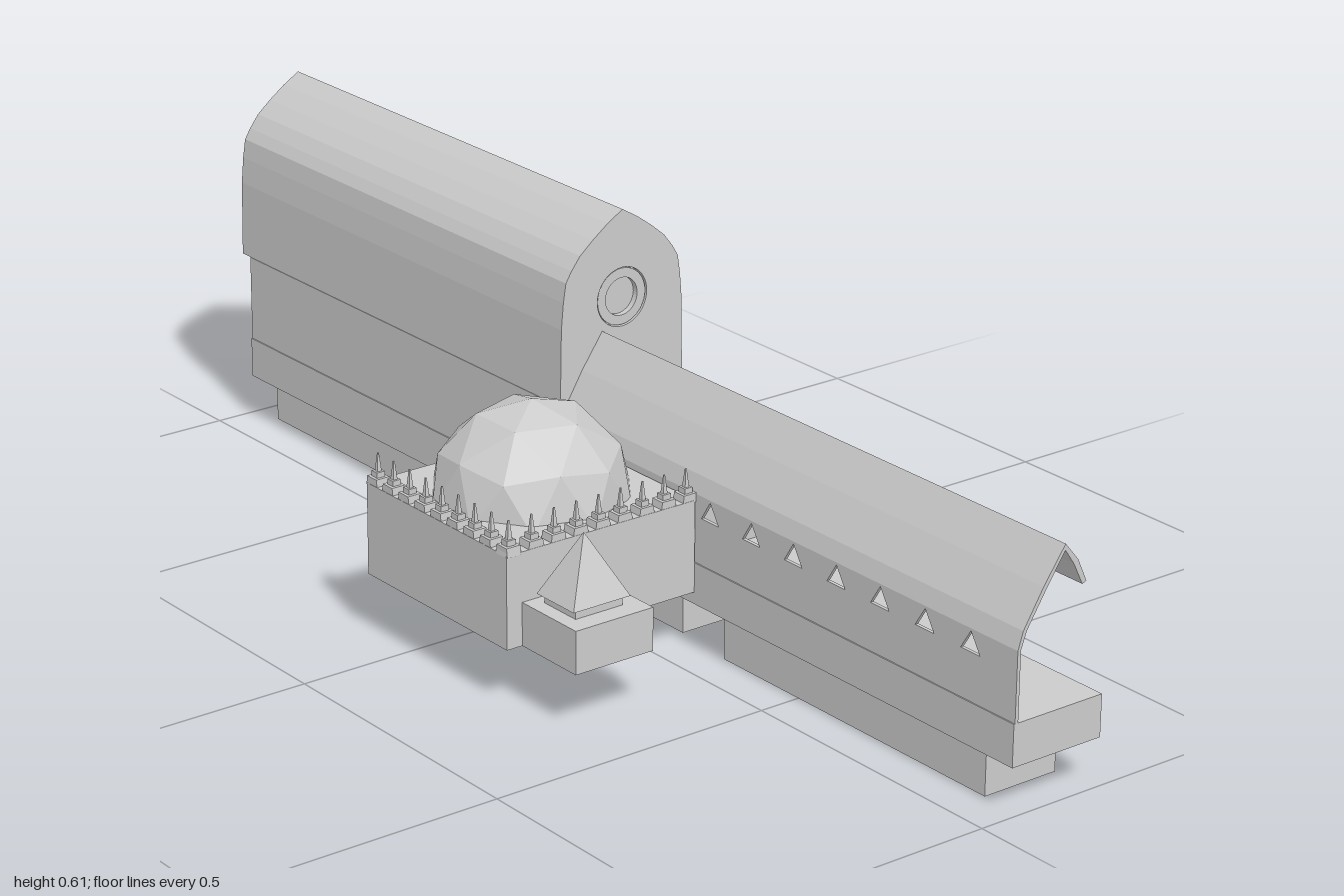
import * as THREE from 'three';

const mat = new THREE.MeshStandardMaterial({ color: 0xcccccc, flatShading: true, side: THREE.DoubleSide });

function add(parent, name, geometry) {
  const mesh = new THREE.Mesh(geometry, mat);
  mesh.name = name;
  parent.add(mesh);
  return mesh;
}

// Box given by its extents on each axis
function box(parent, name, [x0, x1], [y0, y1], [z0, z1]) {
  const g = new THREE.BoxGeometry(x1 - x0, y1 - y0, z1 - z0);
  return add(parent, name, g.translate((x0 + x1) / 2, (y0 + y1) / 2, (z0 + z1) / 2));
}

const shapeOf = (pts) => new THREE.Shape(pts.map(([x, y]) => new THREE.Vector2(x, y)));

// Profile in x/y swept from z0 to z1
function sweep(shape, z0, z1) {
  return new THREE.ExtrudeGeometry(shape, { depth: z1 - z0, bevelEnabled: false, curveSegments: 20 }).translate(0, 0, z0);
}

// Great hall: pointed barrel roof with a round window recessed in the front
function buildHall() {
  const hall = new THREE.Group();
  hall.name = 'greatHall';
  const cx = 0.182, wy = 0.46;
  const half = [[0.124, 0.3], [0.122, 0.43], [0.118, 0.475], [0.113, 0.507], [0.102, 0.525], [0.085, 0.547], [0.06, 0.568], [0.03, 0.59]];
  const profile = [
    ...half.map(([x, y]) => [cx + x, y]),
    [cx, 0.608],
    ...half.slice().reverse().map(([x, y]) => [cx - x, y]),
  ];
  add(hall, 'hallBody', sweep(shapeOf(profile), -1, -0.095));
  const front = shapeOf(profile);
  front.holes.push(new THREE.Path().absarc(cx, wy, 0.05, 0, Math.PI * 2, true));
  add(hall, 'hallFront', sweep(front, -0.095, -0.083));
  const ring = new THREE.Shape().absarc(cx, wy, 0.048, 0, Math.PI * 2, false);
  ring.holes.push(new THREE.Path().absarc(cx, wy, 0.032, 0, Math.PI * 2, true));
  add(hall, 'windowRing', sweep(ring, -0.095, -0.085));
  return hall;
}

// Covered walk: pierced wall curving over into a thin pointed roof
function buildGallery() {
  const gallery = new THREE.Group();
  gallery.name = 'gallery';
  const wall = shapeOf([[-0.09, 0.15], [1, 0.15], [1, 0.265], [-0.09, 0.265]]);
  for (let i = 0; i < 7; i++) {
    const z = 0.3 + i * 0.1;
    wall.holes.push(shapeOf([[z - 0.021, 0.228], [z, 0.261], [z + 0.021, 0.228]]));
  }
  const g = new THREE.ExtrudeGeometry(wall, { depth: 0.006, bevelEnabled: false });
  add(gallery, 'piercedWall', g.rotateY(-Math.PI / 2).translate(0.063, 0, 0));
  const roof = shapeOf([
    [0.057, 0.265], [0.063, 0.265], [0.073, 0.293], [0.105, 0.344], [0.142, 0.4], [0.16, 0.374], [0.178, 0.338],
    [0.186, 0.341], [0.168, 0.379], [0.142, 0.41], [0.102, 0.353], [0.066, 0.294],
  ]);
  add(gallery, 'archedRoof', sweep(roof, -0.09, 1));
  return gallery;
}

// Crenellated wall with pinnacles, running along +x from the origin
function buildBattlement(name) {
  const row = new THREE.Group();
  row.name = name;
  for (let i = 0; i < 9; i++) {
    const x = i * 0.0425;
    const merlon = shapeOf([[x - 0.0145, 0.252], [x + 0.0145, 0.252], [x + 0.0125, 0.267], [x - 0.0125, 0.267]]);
    add(row, 'merlon', sweep(merlon, -0.0125, 0.0125));
    box(row, 'pinnacleBase', [x - 0.0075, x + 0.0075], [0.265, 0.276], [-0.0075, 0.0075]);
    const spike = new THREE.CylinderGeometry(0.0015, 0.0055, 0.03, 4).rotateY(Math.PI / 4);
    add(row, 'pinnacleSpike', spike.translate(x, 0.291, 0));
  }
  return row;
}

// Faceted dome, cut flat beneath the roof
function buildDome() {
  const r = 0.163;
  const g = new THREE.IcosahedronGeometry(r, 1);
  g.rotateX(-Math.atan((1 + Math.sqrt(5)) / 2)).rotateY(Math.PI / 2);
  const p = g.attributes.position;
  for (let i = 0; i < p.count; i++) p.setY(i, Math.max(p.getY(i), -0.06));
  return g.translate(-0.114, 0.24, 0.07);
}

export function createModel() {
  const model = new THREE.Group();
  model.name = 'castle';

  // Long platform, raised block and footings
  box(model, 'platform', [0.055, 0.228], [0.08, 0.15], [-0.975, 1]);
  box(model, 'raisedBlock', [0.06, 0.228], [0.15, 0.233], [-0.09, 0.245]);
  box(model, 'frontFooting', [0.073, 0.212], [0, 0.08], [0.32, 0.925]);
  box(model, 'middleFooting', [0.07, 0.215], [0.01, 0.08], [-0.07, 0.22]);
  box(model, 'rearFooting', [0.07, 0.218], [0.012, 0.08], [-0.92, -0.15]);
  box(model, 'hallSupportWall', [0.057, 0.063], [0.15, 0.3], [-0.975, -0.09]);

  model.add(buildHall(), buildGallery());

  // Domed keep with battlements on its front and outer sides
  box(model, 'keep', [-0.308, 0.055], [0.1, 0.255], [-0.1, 0.266]);
  const frontRow = buildBattlement('frontBattlement');
  frontRow.position.set(-0.294, 0, 0.253);
  const sideRow = buildBattlement('sideBattlement');
  sideRow.rotation.y = Math.PI / 2;
  sideRow.position.set(-0.295, 0, 0.253);
  model.add(frontRow, sideRow);
  add(model, 'dome', buildDome());

  // Small turret with a pyramid roof
  box(model, 'turretBase', [-0.279, -0.132], [0.1, 0.172], [0.266, 0.4]);
  box(model, 'turretNeck', [-0.253, -0.164], [0.172, 0.187], [0.288, 0.365]);
  const spire = new THREE.ConeGeometry(Math.SQRT1_2, 0.103, 4).rotateY(Math.PI / 4).scale(0.108, 1, 0.092);
  add(model, 'turretRoof', spire.translate(-0.208, 0.2385, 0.326));

  return model;
}
